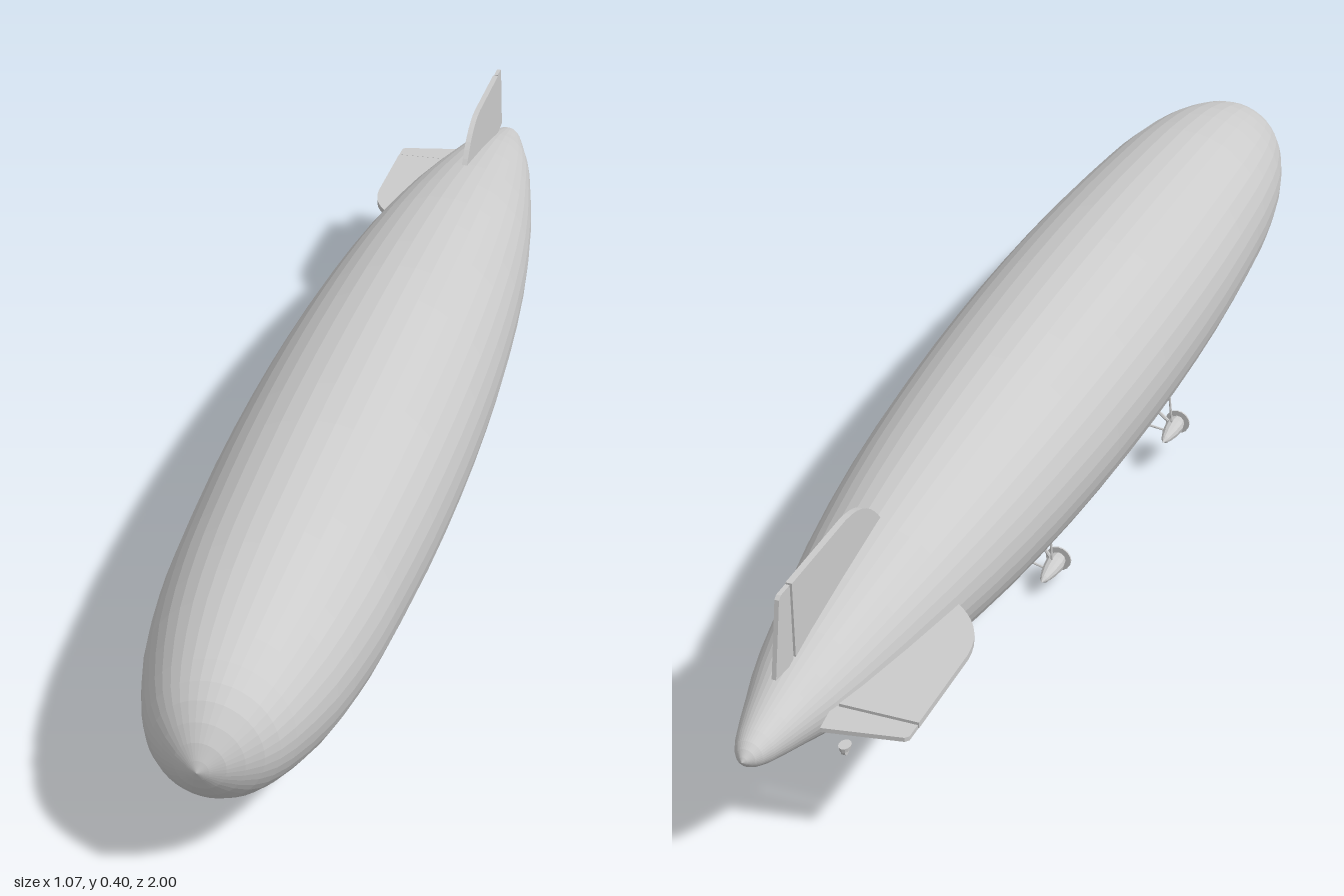
import * as THREE from 'three';

const flat = new THREE.MeshStandardMaterial({ color: 0xcccccc, flatShading: true, side: THREE.DoubleSide });
const V2 = (p) => new THREE.Vector2(p[0], p[1]);

function add(parent, name, geometry, x = 0, y = 0, z = 0) {
  const mesh = new THREE.Mesh(geometry, flat);
  mesh.name = name;
  mesh.position.set(x, y, z);
  parent.add(mesh);
  return mesh;
}

// Body of revolution along z, from [radius, z] pairs running tail to nose
function spindle(points, sides) {
  return new THREE.LatheGeometry(points.map(V2), sides).rotateX(Math.PI / 2);
}

// Thin plate standing on the z axis, outline given as [z, height]
function plate(shape, depth) {
  return new THREE.ExtrudeGeometry(shape, { depth, bevelEnabled: false, curveSegments: 8 })
    .translate(0, 0, -depth / 2).rotateY(-Math.PI / 2);
}

function strut(parent, from, to, radius) {
  const path = new THREE.LineCurve3(new THREE.Vector3(...from), new THREE.Vector3(...to));
  add(parent, 'strut', new THREE.TubeGeometry(path, 1, radius, 6));
}

function makeFin() {
  const fin = new THREE.Group();
  const s = new THREE.Shape();
  s.moveTo(-0.952, 0.03);
  s.lineTo(-0.952, 0.193);
  s.lineTo(-0.775, 0.193);
  s.bezierCurveTo(-0.72, 0.19, -0.685, 0.165, -0.655, 0.125);
  s.lineTo(-0.655, 0.05);
  add(fin, 'fixedFin', plate(s, 0.01));
  const flap = new THREE.Shape([[-0.956, 0.062], [-1.012, 0.068], [-0.99, 0.188], [-0.984, 0.193], [-0.956, 0.193]].map(V2));
  add(fin, 'rudder', plate(flap, 0.007));
  return fin;
}

function makeEngine() {
  const engine = new THREE.Group();
  add(engine, 'nacelle', spindle([[0, -0.05], [0.007, -0.038], [0.013, -0.015], [0.016, 0.01], [0.013, 0.026], [0, 0.032]], 12));
  add(engine, 'propellerDisc', new THREE.CylinderGeometry(0.022, 0.022, 0.003, 16).rotateX(Math.PI / 2), 0, 0, 0.028);
  add(engine, 'spinner', new THREE.ConeGeometry(0.006, 0.012, 8).rotateX(Math.PI / 2), 0, 0, 0.036);
  return engine;
}

function makeWheel() {
  const wheel = new THREE.Group();
  add(wheel, 'tyre', new THREE.CylinderGeometry(0.008, 0.008, 0.007, 12).rotateZ(Math.PI / 2), 0, 0.008, 0);
  add(wheel, 'fairing', new THREE.CylinderGeometry(0.013, 0.011, 0.008, 12).scale(0.75, 1, 1), 0, 0.014, 0);
  return wheel;
}

export function createModel() {
  const model = new THREE.Group();
  model.name = 'airship';

  // The ship lies diagonally; its own axis is z with the nose at +z
  const ship = new THREE.Group();
  ship.name = 'ship';
  ship.position.set(0.01, 0.21, 0);
  ship.rotation.y = -0.468;
  model.add(ship);

  // Hull
  const profile = [
    [0, -1.12], [0.015, -1.108], [0.03, -1.08], [0.055, -1.0], [0.083, -0.9], [0.128, -0.67], [0.158, -0.45],
    [0.177, -0.22], [0.187, 0], [0.19, 0.22], [0.186, 0.45], [0.174, 0.67], [0.164, 0.78], [0.145, 0.9],
    [0.113, 1.008], [0.082, 1.064], [0.038, 1.102], [0, 1.12],
  ];
  const curve = new THREE.SplineCurve(profile.map(V2));
  const rings = curve.getPoints(34).map((p) => [Math.max(p.x, 0), p.y]);
  add(ship, 'hull', spindle(rings, 40));

  // Upper fin and one side fin
  [['upperFin', 0], ['sideFin', Math.PI / 2]].forEach(([name, turn]) => {
    const fin = makeFin();
    fin.name = name;
    fin.rotation.z = turn;
    ship.add(fin);
  });

  // Engines slung on struts along one flank
  [['rearEngine', -0.122, -0.178, -0.255], ['frontEngine', -0.178, -0.142, 0.18]].forEach(([name, x, y, z]) => {
    const engine = makeEngine();
    engine.name = name;
    engine.position.set(x, y, z);
    ship.add(engine);
    strut(ship, [x, y, z + 0.01], [x * 0.65, y * 0.65, z + 0.01], 0.003);
    strut(ship, [x, y, z], [x * 0.95, y * 0.4, z], 0.002);
    strut(ship, [x, y, z - 0.01], [x * 0.4, y * 0.9, z - 0.01], 0.002);
  });

  // Control car under the nose, with its landing wheel
  add(ship, 'controlCar', new THREE.CylinderGeometry(0.047, 0.038, 0.035, 16).scale(0.36, 1, 1), 0, -0.172, 0.735);
  const frontWheel = makeWheel();
  frontWheel.name = 'frontWheel';
  frontWheel.position.set(0, -0.202, 0.735);
  ship.add(frontWheel);

  // Tail wheel hanging below the stern
  const tailWheel = makeWheel();
  tailWheel.name = 'tailWheel';
  tailWheel.position.set(0, -0.21, -0.8);
  ship.add(tailWheel);

  return model;
}
